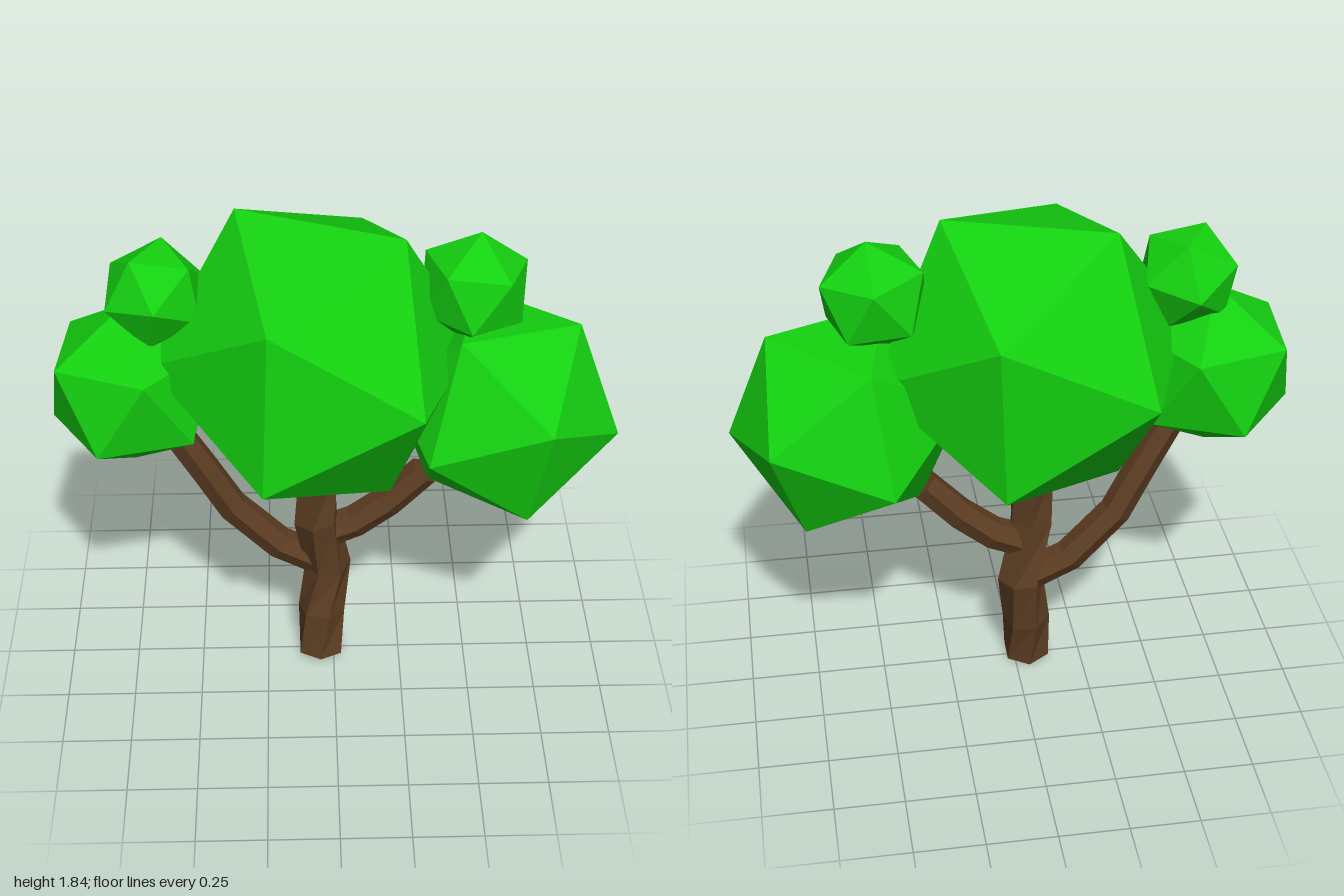
import * as THREE from 'three';

const V = (p) => new THREE.Vector3(...p);
const bark = new THREE.MeshStandardMaterial({ color: 0x5c3d22, flatShading: true });
const leaf = new THREE.MeshStandardMaterial({ color: 0x14d010, flatShading: true });

// Tapered faceted limb: a cylinder whose rings follow a list of points
function limb(name, points, r0, r1, twist) {
  const path = points.map(V);
  const n = path.length - 1;
  const geo = new THREE.CylinderGeometry(1, 1, 1, 6, n);
  const pos = geo.attributes.position;
  const up = new THREE.Vector3(0, 1, 0);
  const p = new THREE.Vector3();
  for (let i = 0; i < pos.count; i++) {
    p.fromBufferAttribute(pos, i);
    const k = Math.round((p.y + 0.5) * n);
    const tangent = path[Math.min(k + 1, n)].clone().sub(path[Math.max(k - 1, 0)]).normalize();
    const bend = new THREE.Quaternion().setFromUnitVectors(up, tangent);
    p.setY(0).multiplyScalar(r0 + (r1 - r0) * k / n);
    p.applyAxisAngle(up, k * twist).applyQuaternion(bend).add(path[k]);
    pos.setXYZ(i, p.x, p.y, p.z);
  }
  geo.computeVertexNormals();
  const mesh = new THREE.Mesh(geo, bark);
  mesh.name = name;
  return mesh;
}

// Icosahedron turned so that two neighbouring corners point along a and b
function foliage(name, center, radius, a, b) {
  const va = V(a).normalize();
  const vb = V(b).normalize();
  const ex = vb.clone().sub(va).normalize();
  const ey = va.clone().add(vb).normalize();
  const ez = ex.clone().cross(ey);
  const geo = new THREE.IcosahedronGeometry(radius, 0);
  geo.applyMatrix4(new THREE.Matrix4().makeBasis(ex, ey, ez));
  const mesh = new THREE.Mesh(geo, leaf);
  mesh.name = name;
  mesh.position.set(...center);
  return mesh;
}

export function createModel() {
  const tree = new THREE.Group();
  tree.name = 'tree';

  // Trunk and its two side branches
  tree.add(
    limb('trunk', [[-0.05, 0.02, 0.012], [-0.045, 0.2, -0.01], [-0.02, 0.4, -0.035],
      [-0.065, 0.64, 0], [-0.06, 0.87, -0.01]], 0.09, 0.083, 0.3),
    limb('rightBranch', [[-0.04, 0.41, -0.04], [-0.2, 0.49, -0.045], [-0.37, 0.67, -0.04],
      [-0.47, 0.86, -0.025], [-0.58, 1.06, -0.01]], 0.062, 0.056, 0.05),
    limb('leftBranch', [[-0.03, 0.56, -0.02], [0.08, 0.605, -0.02], [0.2, 0.7, -0.015],
      [0.33, 0.84, -0.01]], 0.062, 0.058, 0.05),
  );

  // Leaf clumps
  tree.add(
    foliage('mainCrown', [-0.065, 1.353, 0], 0.579, [-0.265, 0.497, -0.135], [0.305, 0.487, 0.075]),
    foliage('leftLowerFoliage', [0.597, 1.135, 0], 0.423, [0.133, 0.11, 0.385], [0.253, 0.335, 0.02]),
    foliage('rightLowerFoliage', [-0.705, 1.245, 0], 0.318, [0.065, 0.145, 0.275], [-0.105, -0.135, 0.267]),
    foliage('rightUpperFoliage', [-0.603, 1.605, 0], 0.189, [0.005, 0.02, 0.19], [-0.075, 0.16, 0.07]),
    foliage('leftUpperFoliage', [0.478, 1.615, 0], 0.205, [0.17, 0.075, -0.055], [0.165, -0.118, 0.075]),
  );
  return tree;
}
